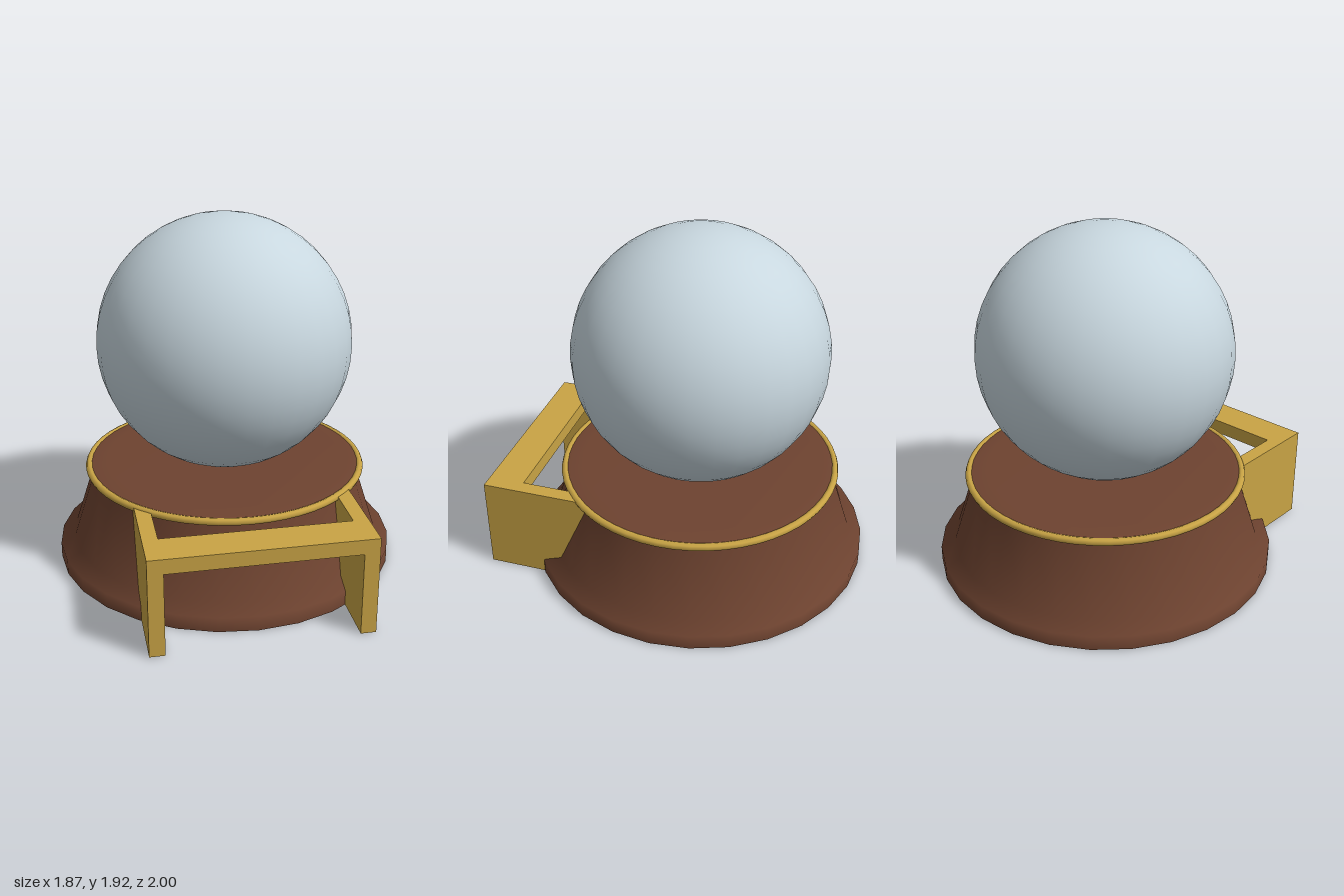
import * as THREE from 'three';

const CENTRE_Z = -0.063;
const SIDES = 28;

export function createModel() {
  const model = new THREE.Group();
  model.name = 'crystalBallOnStand';

  const paint = (name, color) => {
    const m = new THREE.MeshStandardMaterial({ color });
    m.name = name;
    return m;
  };
  const wood = paint('wood', 0x6e4330);
  const brass = paint('brass', 0xc9a445);
  const glass = paint('glass', 0xc8d7df);

  const add = (name, geometry, material, x, y, z) => {
    const mesh = new THREE.Mesh(geometry, material);
    mesh.name = name;
    mesh.position.set(x, y, z);
    model.add(mesh);
    return mesh;
  };
  const lathe = (points) =>
    new THREE.LatheGeometry(points.map(([r, y]) => new THREE.Vector2(r, y)), SIDES);

  // Turned wooden base: flared wall, domed top and flat underside
  add('baseWall', lathe([
    [0.937, 0], [0.937, 0.08], [0.858, 0.12], [0.735, 0.5], [0.765, 0.535],
  ]), wood, 0, 0, CENTRE_Z);
  add('baseTop', lathe([[0.765, 0.535], [0.66, 0.551], [0, 0.551]]), wood, 0, 0, CENTRE_Z);
  const underside = add('baseUnderside', new THREE.CircleGeometry(0.937, SIDES), wood, 0, 0, CENTRE_Z);
  underside.rotation.x = Math.PI / 2;

  // Brass trim around the rim
  const trim = add('rimTrim', new THREE.TorusGeometry(0.757, 0.02, 8, 56), brass, 0, 0.524, CENTRE_Z);
  trim.rotation.x = Math.PI / 2;

  // Ball
  add('ball', new THREE.SphereGeometry(0.69, 32, 24), glass, 0, 1.23, CENTRE_Z);

  // Brass frame at the front: two side panels set into the base, joined by a top bar
  for (const side of [-1, 1]) {
    add(side > 0 ? 'leftPanel' : 'rightPanel',
      new THREE.BoxGeometry(0.08, 0.528, 0.72), brass, side * 0.53, 0.266, 0.64);
  }
  add('topBar', new THREE.BoxGeometry(0.98, 0.08, 0.2), brass, 0, 0.49, 0.9);

  return model;
}
